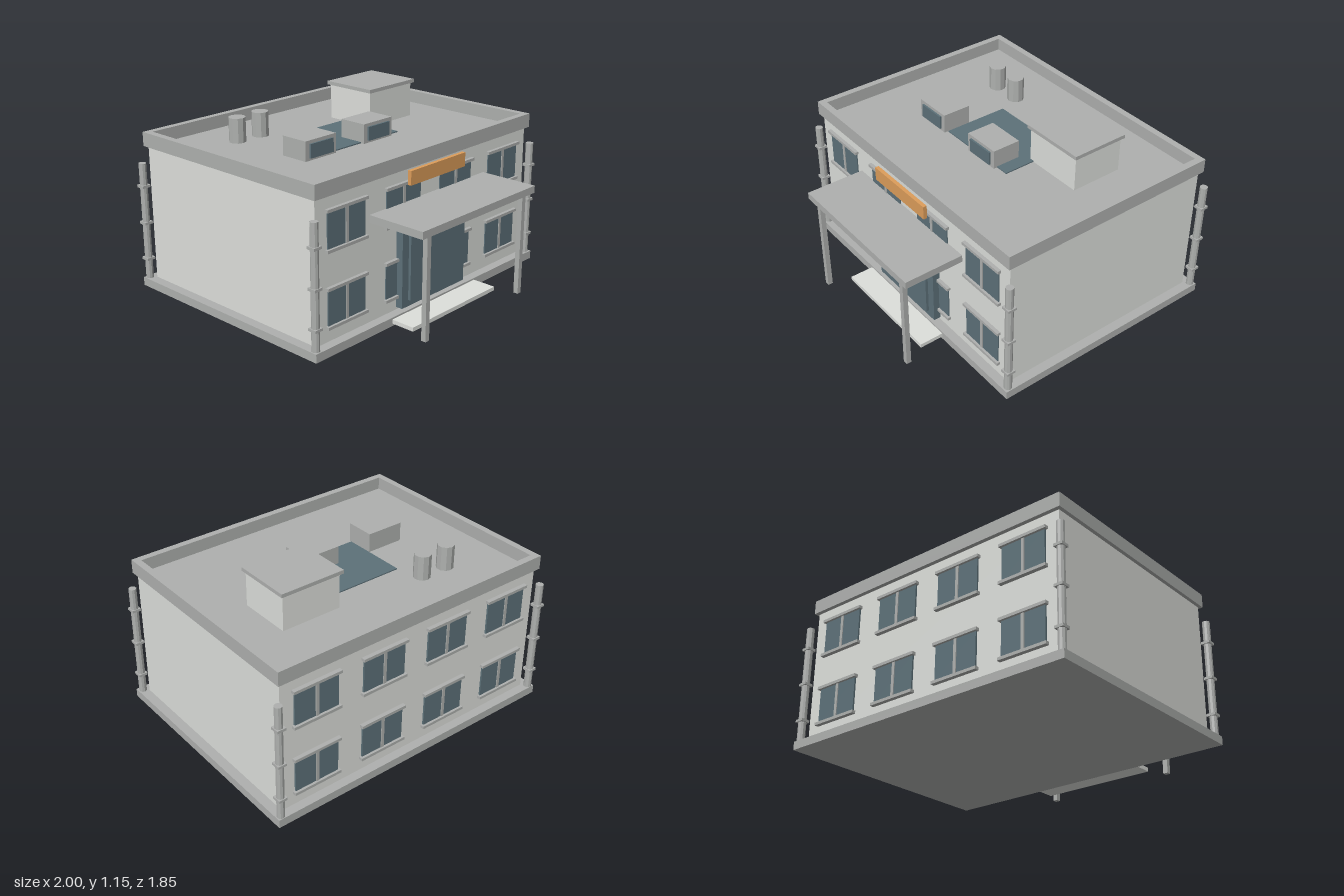
import * as THREE from 'three';

const material = (name, color) => {
  const m = new THREE.MeshStandardMaterial({ color });
  m.name = name;
  return m;
};

export function createModel() {
  const wall = material('pale wall', 0xdddfdb);
  const trim = material('grey concrete', 0xaeb0ae);
  const glass = material('blue grey glass', 0x5d7179);
  const orange = material('orange panel', 0xdd9d5a);
  const model = new THREE.Group();
  model.name = 'building';

  const add = (name, geometry, mat, x, y, z, parent = model) => {
    const mesh = new THREE.Mesh(geometry, mat);
    mesh.name = name;
    mesh.position.set(x, y, z);
    parent.add(mesh);
    return mesh;
  };
  // Box given by its limits on each axis
  const box = (name, mat, [x0, x1], [y0, y1], [z0, z1], parent) =>
    add(name, new THREE.BoxGeometry(x1 - x0, y1 - y0, z1 - z0), mat,
      (x0 + x1) / 2, (y0 + y1) / 2, (z0 + z1) / 2, parent);
  // Faceted upright cylinder
  const tube = (name, mat, r, y0, y1, x, z, sides, parent) => {
    const g = new THREE.CylinderGeometry(r, r, y1 - y0, sides).toNonIndexed();
    g.computeVertexNormals();
    return add(name, g, mat, x, (y0 + y1) / 2, z, parent);
  };

  // Main volume
  const midZ = -0.161;
  box('plinth', trim, [-1, 1], [0, 0.053], [-0.92, 0.6]);
  box('walls', wall, [-0.94, 0.94], [0.053, 0.9], [-0.863, 0.541]);
  box('roofDeck', trim, [-0.93, 0.93], [0.9, 0.91], [-0.86, 0.54]);

  // Parapet ring around the roof
  const rectangle = (Type, w, d) => {
    const p = new Type();
    p.moveTo(-w, -d).lineTo(w, -d).lineTo(w, d).lineTo(-w, d).closePath();
    return p;
  };
  const ring = rectangle(THREE.Shape, 0.96, 0.725);
  ring.holes.push(rectangle(THREE.Path, 0.917, 0.682));
  const parapet = new THREE.ExtrudeGeometry(ring, { depth: 0.088, bevelEnabled: false });
  parapet.rotateX(-Math.PI / 2);
  add('parapet', parapet, trim, 0, 0.903, midZ);

  // Windows: one design on the front, the same on the back
  for (const [side, faceZ, turn] of [['front', 0.539, 0], ['back', -0.865, Math.PI]]) {
    for (const y of [0.254, 0.703]) {
      for (const x of [-0.704, -0.235, 0.235, 0.704]) {
        const w = new THREE.Group();
        w.name = side + 'Window';
        w.position.set(x, y, faceZ);
        w.rotation.y = turn;
        model.add(w);
        box('glazing', glass, [-0.147, 0.147], [-0.107, 0.107], [-0.01, 0.009], w);
        box('mullion', trim, [-0.01, 0.01], [-0.107, 0.107], [-0.01, 0.014], w);
        box('lintel', trim, [-0.16, 0.16], [0.106, 0.124], [-0.01, 0.024], w);
        box('sill', trim, [-0.16, 0.16], [-0.123, -0.105], [-0.01, 0.024], w);
      }
    }
  }

  // Entrance
  box('doorSurround', glass, [-0.287, 0.287], [0.07, 0.615], [0.53, 0.588]);
  box('door', glass, [-0.233, 0.233], [0.11, 0.573], [0.58, 0.605]);
  box('entranceStep', wall, [-0.385, 0.385], [0.017, 0.042], [0.59, 0.755]);
  box('canopy', trim, [-0.517, 0.517], [0.657, 0.702], [0.54, 0.922]);
  for (const x of [-0.438, 0.438]) {
    box('canopyPost', trim, [x - 0.016, x + 0.016], [0.027, 0.66], [0.872, 0.903]);
  }
  box('signPanel', orange, [-0.245, 0.245], [0.818, 0.904], [0.583, 0.607]);

  // Drainpipes with brackets at the four corners
  for (const x of [-0.971, 0.971]) {
    for (const z of [0.568, -0.895]) {
      const pipe = new THREE.Group();
      pipe.name = 'drainpipe';
      pipe.position.set(x, 0, z);
      model.add(pipe);
      tube('pipe', trim, 0.024, 0.053, 0.797, 0, 0, 10, pipe);
      for (const y of [0.182, 0.417, 0.652]) {
        box('bracket', trim, [-0.028, 0.028], [y - 0.008, y + 0.008], [-0.028, 0.028], pipe);
      }
    }
  }

  // Rooftop equipment
  box('skylight', glass, [-0.283, 0.283], [0.905, 0.917], [-0.378, 0.046]);
  box('stairHouse', wall, [0.254, 0.644], [0.905, 1.133], [-0.5, -0.16]);
  box('stairHouseRoof', trim, [0.238, 0.66], [1.131, 1.154], [-0.516, -0.144]);
  for (const x of [-0.415, 0.074]) {
    box('airUnit', trim, [x - 0.124, x + 0.124], [0.905, 1.031], [-0.116, 0.07]);
    box('airUnitGrille', glass, [x - 0.093, x + 0.093], [0.925, 1.011], [0.06, 0.082]);
  }
  for (const x of [-0.527, -0.343]) tube('roofVent', trim, 0.053, 0.905, 1.064, x, -0.528, 10);

  return model;
}
